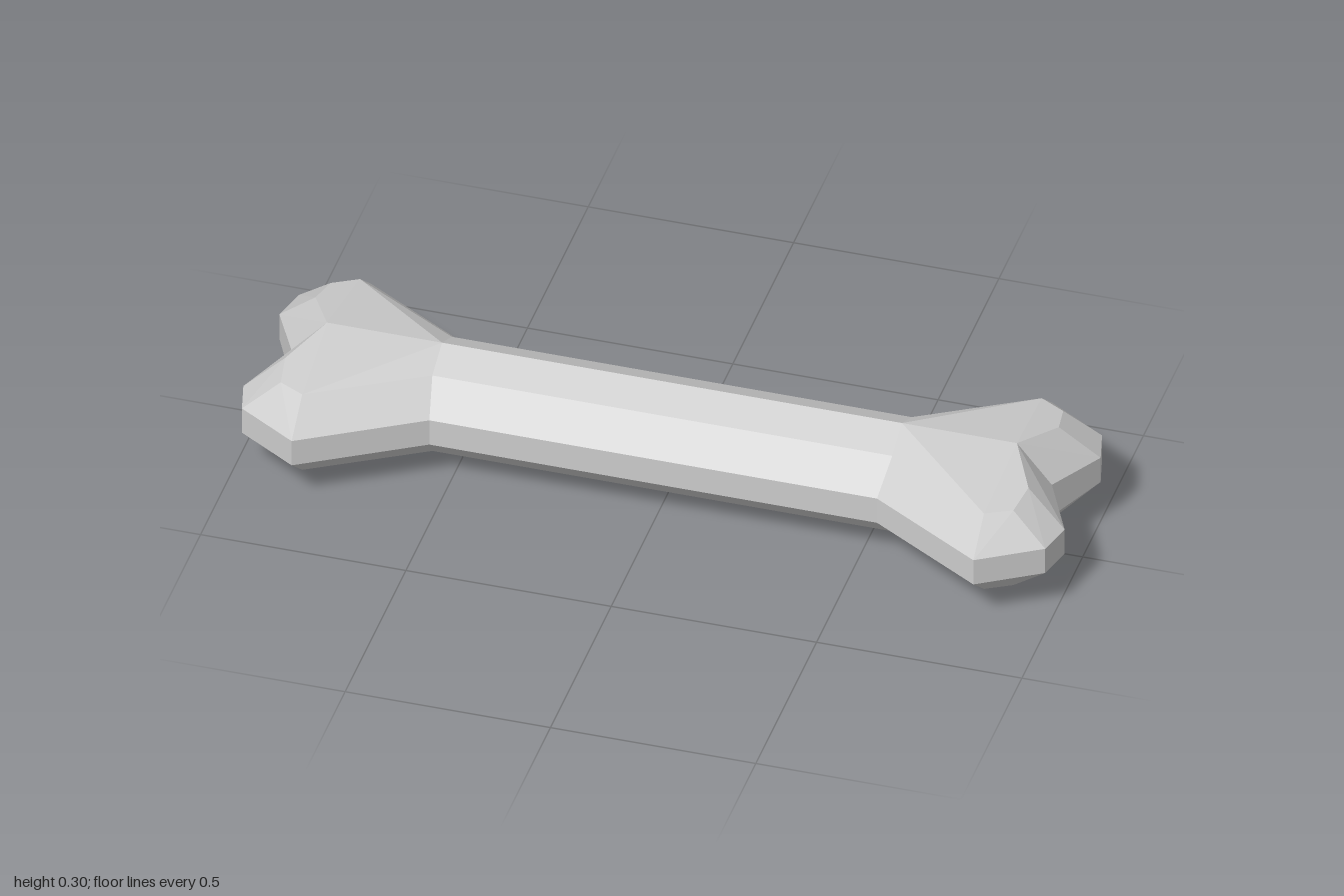
import * as THREE from 'three';

const HALF = 0.148; // half of the total height

// Outline of one quarter, from the shaft's middle round the knob to the end notch:
// [rim x, rim z, rim height, shoulder x, shoulder z, shoulder height], heights from mid-plane
const COLUMNS = [
  [0, 0.155, 0.035, 0, 0.08, 0.109],
  [0.545, 0.155, 0.035, 0.56, 0.08, 0.109],
  [0.83, 0.325, 0.035, 0.83, 0.238, 0.109],
  [0.978, 0.234, 0.035, 0.892, 0.205, 0.108],
  [1, 0.148, 0.035, 0.905, 0.125, 0.12],
  [0.925, 0, 0.045, 0.84, 0, HALF],
];

// Faces of one eighth of the bone (x, y and z all positive)
function octantTriangles() {
  const mid = COLUMNS.map(([x, z]) => [x, 0, z]);
  const rim = COLUMNS.map(([x, z, h]) => [x, h, z]);
  const shoulder = COLUMNS.map((c) => [c[3], c[5], c[4]]);
  const ridge = [[0, HALF, 0], [0.56, HALF, 0]];
  const tris = [];
  const quad = (a, b, c, d) => tris.push([a, b, c], [a, c, d]);

  // Upright band and bevel
  for (let i = 0; i < COLUMNS.length - 1; i++) {
    quad(mid[i], mid[i + 1], rim[i + 1], rim[i]);
    quad(rim[i], rim[i + 1], shoulder[i + 1], shoulder[i]);
  }
  // Crown of the shaft, then of the knob
  quad(ridge[0], shoulder[0], shoulder[1], ridge[1]);
  quad(ridge[1], shoulder[1], shoulder[2], shoulder[5]);
  quad(shoulder[5], shoulder[2], shoulder[3], shoulder[4]);
  return tris;
}

export function createModel() {
  const positions = [];
  const tris = octantTriangles();

  // Mirror the eighth across all three planes, reversing corners where needed
  for (const sx of [1, -1]) for (const sy of [1, -1]) for (const sz of [1, -1]) {
    for (const [a, b, c] of tris) {
      const corners = sx * sy * sz > 0 ? [a, b, c] : [a, c, b];
      for (const [x, y, z] of corners) positions.push(x * sx, HALF + y * sy, z * sz);
    }
  }

  const geometry = new THREE.BufferGeometry();
  geometry.setAttribute('position', new THREE.Float32BufferAttribute(positions, 3));
  geometry.computeVertexNormals();

  const bone = new THREE.Mesh(
    geometry,
    new THREE.MeshStandardMaterial({ color: 0xcccccc, flatShading: true }),
  );
  bone.name = 'bone';

  const group = new THREE.Group();
  group.name = 'boneModel';
  group.add(bone);
  return group;
}
